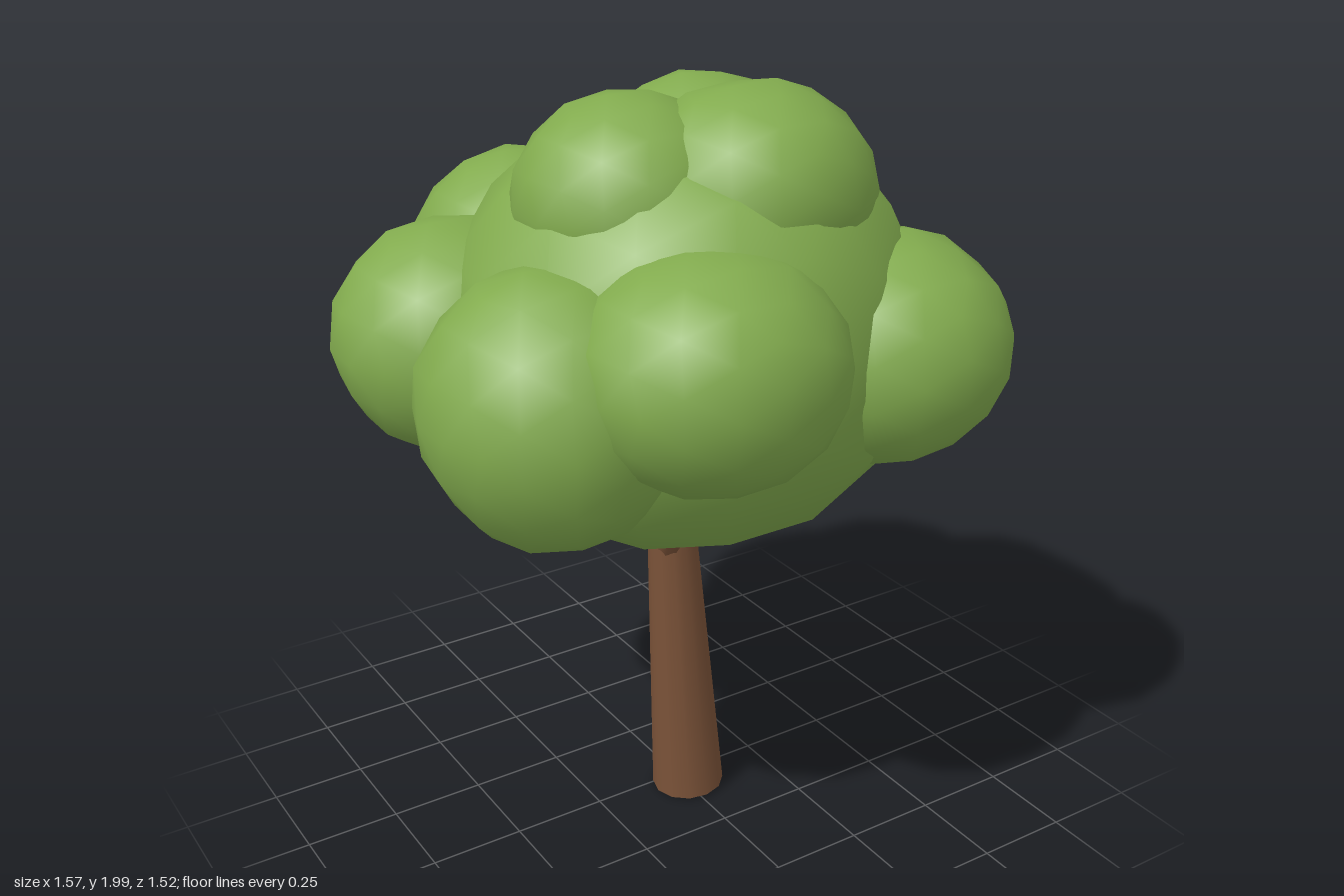
import * as THREE from 'three';
import { mergeVertices } from 'three/addons/utils/BufferGeometryUtils.js';

const leafGreen = new THREE.MeshStandardMaterial({ color: 0x82ab4e });
leafGreen.name = 'leafGreen';
const barkBrown = new THREE.MeshStandardMaterial({ color: 0x7a5238 });
barkBrown.name = 'barkBrown';

// Small seeded generator for the uneven leaf surfaces
let seed = 7;
function rand() {
  seed = (seed * 16807) % 2147483647;
  return seed / 2147483647;
}

// Slightly lumpy, smooth-shaded low-poly ball of leaves
function leafBall(name, [x, y, z], [rx, ry, rz]) {
  let geo = new THREE.IcosahedronGeometry(1, 2);
  geo.deleteAttribute('uv');
  geo.deleteAttribute('normal');
  geo = mergeVertices(geo, 1e-4);
  const pos = geo.attributes.position;
  const v = new THREE.Vector3();
  for (let i = 0; i < pos.count; i++) {
    v.fromBufferAttribute(pos, i).multiplyScalar(0.985 + rand() * 0.04);
    pos.setXYZ(i, v.x * rx, v.y * ry, v.z * rz);
  }
  geo.computeVertexNormals();
  const mesh = new THREE.Mesh(geo, leafGreen);
  mesh.name = name;
  mesh.position.set(x, y, z);
  return mesh;
}

// Tapered round limb between two points
function limb(name, from, to, r0, r1, sides) {
  const a = new THREE.Vector3(...from);
  const b = new THREE.Vector3(...to);
  const dir = b.clone().sub(a);
  const mesh = new THREE.Mesh(new THREE.CylinderGeometry(r1, r0, dir.length(), sides), barkBrown);
  mesh.name = name;
  mesh.position.copy(a).add(b).multiplyScalar(0.5);
  mesh.quaternion.setFromUnitVectors(new THREE.Vector3(0, 1, 0), dir.normalize());
  return mesh;
}

export function createModel() {
  const tree = new THREE.Group();
  tree.name = 'tree';

  // Leaning trunk and the two forks that vanish into the crown
  tree.add(limb('trunk', [0.012, 0.008, 0.045], [-0.035, 0.95, 0.02], 0.098, 0.058, 12));
  tree.add(limb('frontBranch', [-0.05, 0.765, 0.045], [-0.1, 0.95, 0.18], 0.035, 0.028, 8));
  tree.add(limb('backBranch', [-0.045, 0.77, 0], [-0.08, 0.95, -0.15], 0.033, 0.028, 8));

  // Crown: a large core, a ring of clumps and three clumps on top
  const crown = new THREE.Group();
  crown.name = 'crown';
  crown.add(leafBall('crownCore', [0.005, 1.37, 0.035], [0.6, 0.565, 0.59]));

  // Each clump: centre, radii
  const ring = [
    [[-0.2, 1.425, 0.455], [0.33, 0.285, 0.315]],
    [[0.36, 1.35, 0.38], [0.325, 0.288, 0.315]],
    [[0.455, 1.235, 0.015], [0.33, 0.315, 0.325]],
    [[0.25, 1.245, -0.435], [0.31, 0.295, 0.318]],
    [[-0.17, 1.45, -0.455], [0.315, 0.285, 0.31]],
    [[-0.47, 1.34, -0.275], [0.318, 0.3, 0.318]],
    [[-0.465, 1.31, 0.21], [0.32, 0.335, 0.33]],
  ];
  ring.forEach(([c, r], i) => crown.add(leafBall('sideClump' + (i + 1), c, r)));

  const top = [
    [[0.08, 1.735, 0.21], [0.305, 0.262, 0.285]],
    [[-0.175, 1.718, 0.075], [0.285, 0.257, 0.275]],
    [[0.115, 1.71, -0.065], [0.28, 0.257, 0.28]],
  ];
  top.forEach(([c, r], i) => crown.add(leafBall('topClump' + (i + 1), c, r)));

  tree.add(crown);
  return tree;
}
